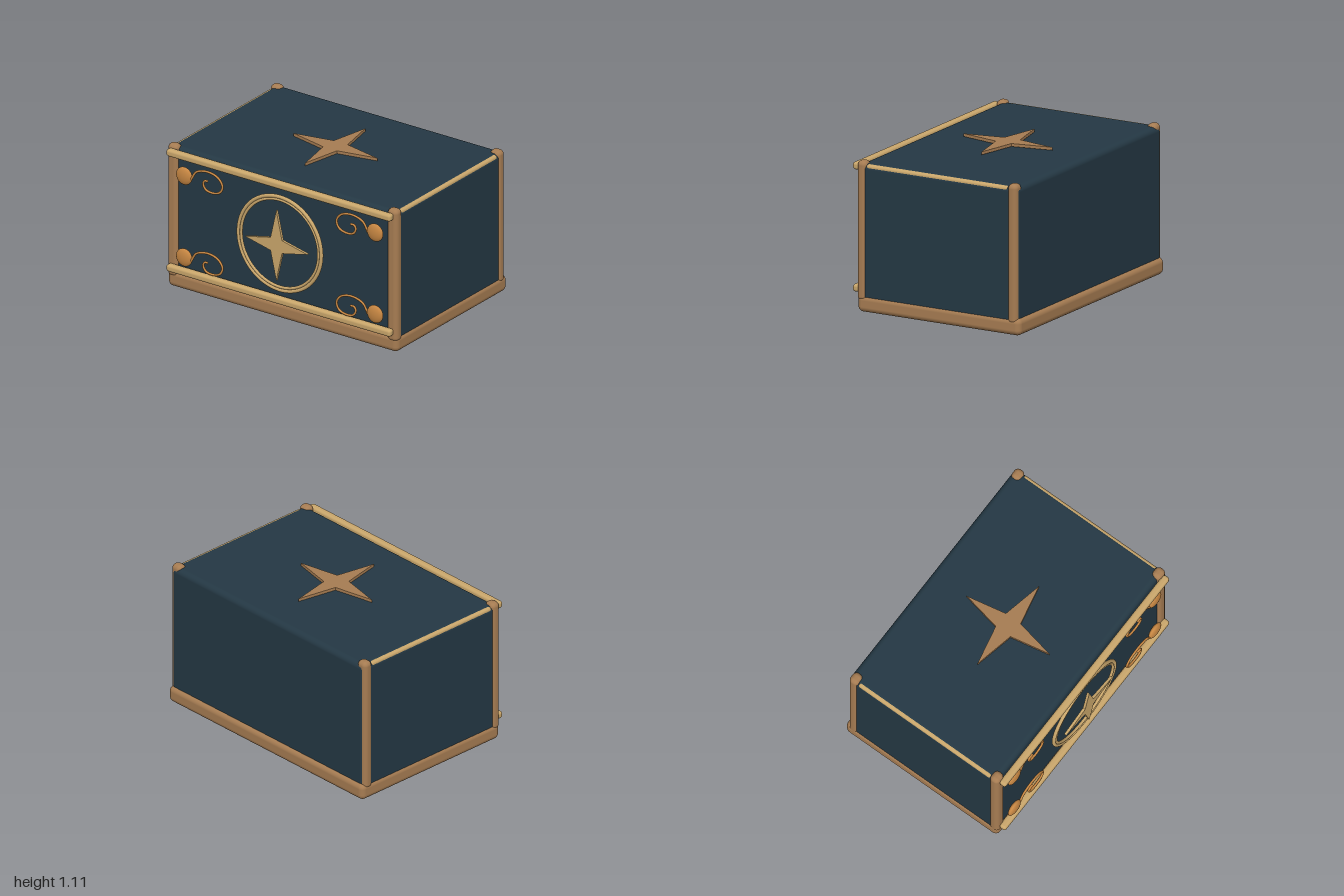
import * as THREE from 'three';
import { RoundedBoxGeometry } from 'three/addons/geometries/RoundedBoxGeometry.js';

const mat = (name, color) => {
  const m = new THREE.MeshStandardMaterial({ color });
  m.name = name;
  return m;
};

// Four-pointed star with slim points
function starGeometry(rx, ry, wx, wy, depth) {
  const shape = new THREE.Shape([
    [0, ry], [wx, wy], [rx, 0], [wx, -wy], [0, -ry], [-wx, -wy], [-rx, 0], [-wx, wy],
  ].map(([x, y]) => new THREE.Vector2(x, y)));
  return new THREE.ExtrudeGeometry(shape, { depth, bevelEnabled: false });
}

export function createModel() {
  const group = new THREE.Group();
  const blue = mat('midnight blue', 0x243844);
  const brass = mat('aged brass', 0xa67c52);
  const gold = mat('pale gold', 0xc9a66b);
  const copper = mat('copper', 0xc68642);

  const add = (name, geometry, material, x, y, z) => {
    const mesh = new THREE.Mesh(geometry, material);
    mesh.name = name;
    mesh.position.set(x, y, z);
    group.add(mesh);
    return mesh;
  };
  const box = (w, h, d, r) => new RoundedBoxGeometry(w, h, d, 5, r);

  // Plinth and casket body
  add('base', box(2, 0.126, 1.34, 0.04), brass, 0, 0.063, -0.033);
  add('body', box(1.98, 1.025, 1.3, 0.04), blue, 0, 0.5725, -0.03);

  // Corner posts
  const post = box(0.09, 1.025, 0.078, 0.034);
  for (const x of [-0.955, 0.955]) {
    add('frontPost', post, brass, x, 0.5925, 0.602);
    add('backPost', post, brass, x, 0.5925, -0.637);
  }

  // Gold rails around the top and bottom edges
  const longRail = box(1.95, 0.055, 0.055, 0.02);
  const sideRail = box(0.055, 0.055, 1.17, 0.02);
  for (const y of [0.162, 1.055]) {
    add('frontRail', longRail, gold, 0, y, 0.661);
    add('backRail', longRail, gold, 0, y, -0.642);
    for (const x of [-0.96, 0.96]) add('sideRail', sideRail, gold, x, y, -0.015);
  }

  // Medallion on the front
  add('outerRing', new THREE.TorusGeometry(0.36, 0.014, 12, 72), gold, 0, 0.6, 0.66);
  add('innerRing', new THREE.TorusGeometry(0.337, 0.011, 12, 72), gold, 0, 0.6, 0.66);
  add('frontStar', starGeometry(0.272, 0.272, 0.05, 0.05, 0.02), gold, 0, 0.6, 0.685);

  // Star on the lid
  const lidStar = add('lidStar', starGeometry(0.365, 0.365, 0.06, 0.065, 0.022), brass, 0, 1.089, -0.01);
  lidStar.rotation.x = -Math.PI / 2;

  // Copper studs with scrolls at the four front corners
  const scrollPoints = [
    [0.765, -0.01], [0.72, 0.058], [0.62, 0.085], [0.53, 0.06], [0.493, 0.005],
    [0.515, -0.047], [0.58, -0.068], [0.64, -0.055], [0.66, -0.015], [0.645, 0.01], [0.615, 0.01],
  ];
  const stud = new THREE.SphereGeometry(0.068, 28, 20);
  for (const side of [-1, 1]) {
    const curve = new THREE.CatmullRomCurve3(
      scrollPoints.map(([x, y]) => new THREE.Vector3(side * x, y, 0)));
    const scroll = new THREE.TubeGeometry(curve, 70, 0.009, 8);
    for (const y of [0.273, 0.905]) {
      add('stud', stud, copper, side * 0.83, y, 0.663).scale.z = 0.37;
      add('scroll', scroll, copper, side * 0.003, y, 0.665);
    }
  }
  return group;
}
